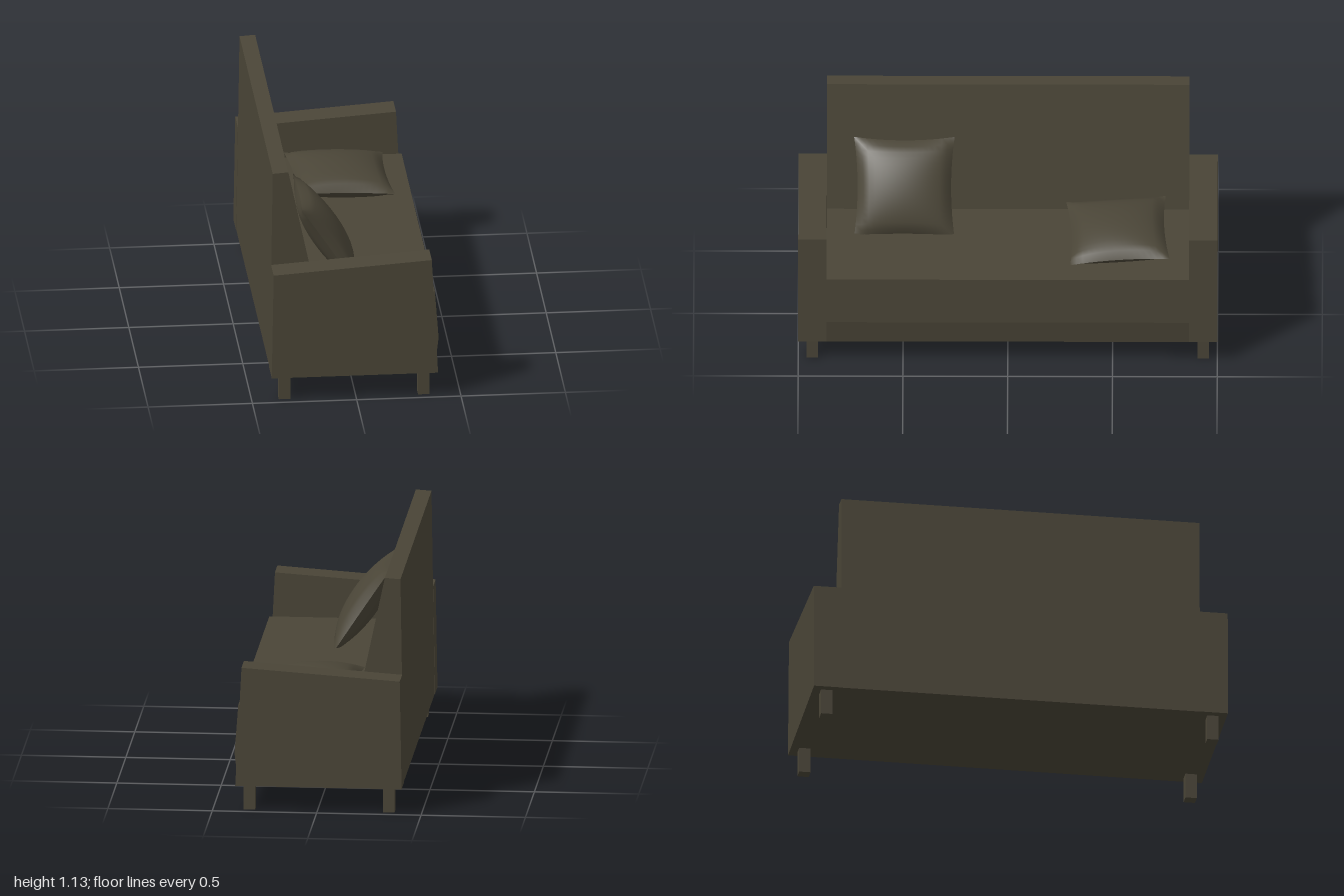
import * as THREE from 'three';
import { mergeGeometries } from 'three/addons/utils/BufferGeometryUtils.js';

const fabric = new THREE.MeshStandardMaterial({ color: 0x4a4537 });
fabric.name = 'olive brown fabric';

// Side profile in x/y, extruded along z from z0 to z1
function slab(name, points, z0, z1) {
  const shape = new THREE.Shape(points.map(([x, y]) => new THREE.Vector2(x, y)));
  const geo = new THREE.ExtrudeGeometry(shape, { depth: z1 - z0, bevelEnabled: false });
  geo.translate(0, 0, z0);
  const mesh = new THREE.Mesh(geo, fabric);
  mesh.name = name;
  return mesh;
}

// Puffed square with pinched sides: two domed sheets meeting at a seam
function pillow(name, half, puff) {
  const top = new THREE.PlaneGeometry(2, 2, 16, 16);
  const p = top.attributes.position;
  for (let i = 0; i < p.count; i++) {
    const u = p.getX(i), v = p.getY(i);
    const a = 1 - u * u, b = 1 - v * v;
    p.setXYZ(i, u * half * (1 - 0.07 * b), v * half * (1 - 0.07 * a), puff * Math.pow(a * b, 0.5));
  }
  top.computeVertexNormals();
  const geo = mergeGeometries([top, top.clone().rotateY(Math.PI)]);
  geo.rotateX(-Math.PI / 2);
  const mesh = new THREE.Mesh(geo, fabric);
  mesh.name = name;
  return mesh;
}

export function createModel() {
  const sofa = new THREE.Group();
  sofa.name = 'sofa';

  // Seat block with a slightly bowed front
  sofa.add(slab('seat', [
    [-0.3, 0.125], [0.39, 0.125], [0.405, 0.25], [0.387, 0.49], [-0.3, 0.49],
  ], -0.865, 0.865));

  // Wedge-shaped backrest
  sofa.add(slab('backrest', [
    [-0.405, 0.125], [-0.18, 0.125], [-0.18, 0.49], [-0.315, 1.13], [-0.39, 1.125],
  ], -0.865, 0.865));

  // Armrests
  const arm = [[-0.407, 0.125], [0.39, 0.125], [0.36, 0.707], [-0.398, 0.655]];
  sofa.add(slab('leftArmrest', arm, -1, -0.865));
  sofa.add(slab('rightArmrest', arm, 0.865, 1));

  // Legs
  for (const x of [-0.342, 0.325]) {
    for (const z of [-0.933, 0.933]) {
      const leg = new THREE.Mesh(new THREE.BoxGeometry(0.055, 0.125, 0.055), fabric);
      leg.name = 'leg';
      leg.position.set(x, 0.0625, z);
      sofa.add(leg);
    }
  }

  // Pillow leaning on the backrest
  const leaning = pillow('leaningPillow', 0.24, 0.075);
  leaning.position.set(-0.105, 0.675, 0.495);
  leaning.rotation.z = -0.985;
  sofa.add(leaning);

  // Pillow lying on the seat
  const lying = pillow('lyingPillow', 0.238, 0.075);
  lying.position.set(0.058, 0.54, -0.525);
  lying.rotation.set(0.05, 0.04, -0.05);
  sofa.add(lying);

  return sofa;
}
